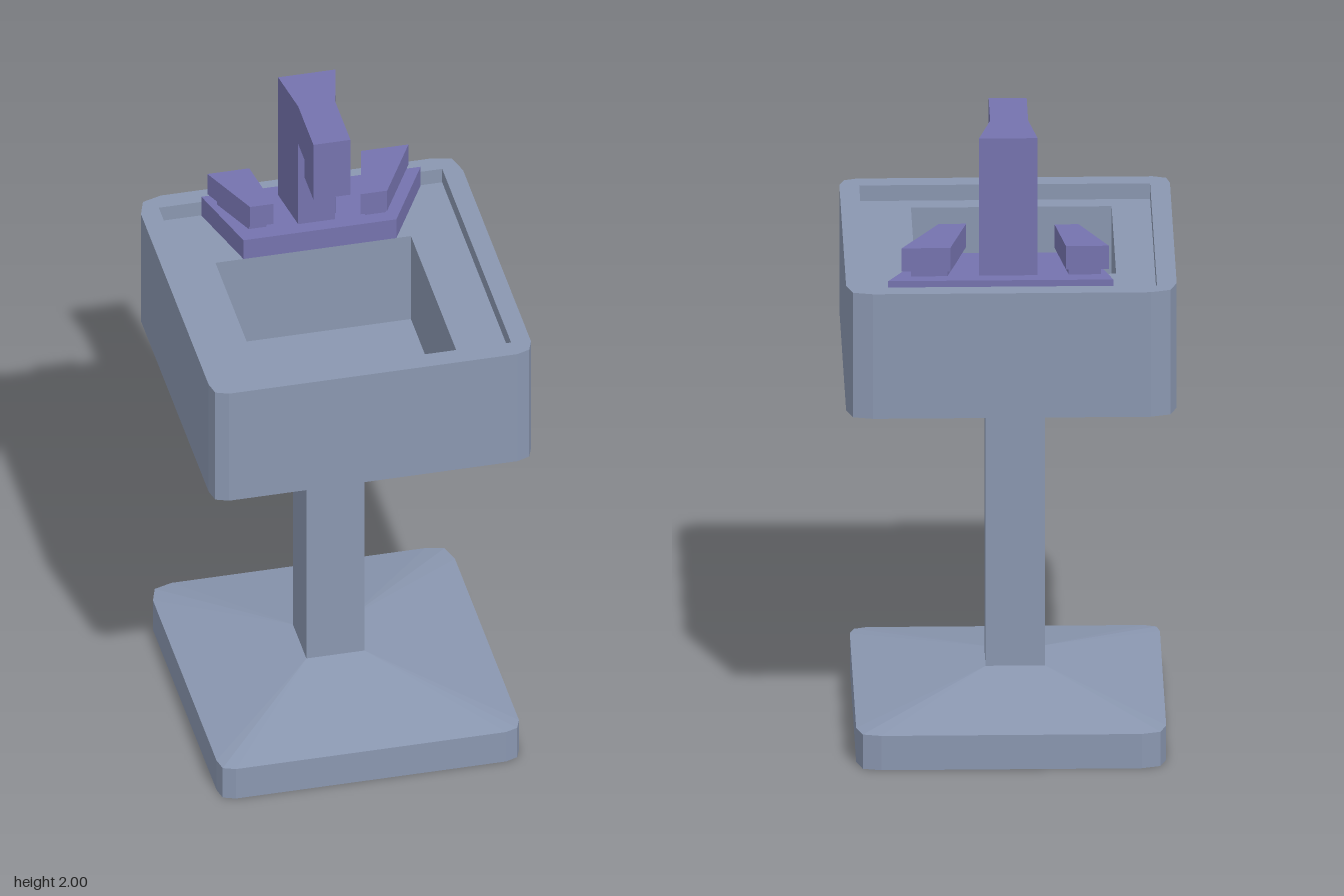
import * as THREE from 'three';

// Joins a stack of equal-length rings [y, [[x, z], ...]] (counterclockwise from above), capped at both ends.
function loft(rings) {
  const pos = [];
  const v = rings.map(([y, pts]) => pts.map(([x, z]) => new THREE.Vector3(x, y, z)));
  const tri = (a, b, c) => {
    if (new THREE.Triangle(a, b, c).getArea() > 1e-7) {
      for (const p of [a, b, c]) pos.push(p.x, p.y, p.z);
    }
  };
  const n = v[0].length;
  for (let r = 0; r < v.length - 1; r++) {
    for (let i = 0; i < n; i++) {
      const j = (i + 1) % n;
      tri(v[r][i], v[r][j], v[r + 1][j]);
      tri(v[r][i], v[r + 1][j], v[r + 1][i]);
    }
  }
  const first = v[0], last = v[v.length - 1];
  for (let i = 1; i < n - 1; i++) {
    tri(first[0], first[i + 1], first[i]);
    tri(last[0], last[i], last[i + 1]);
  }
  const g = new THREE.BufferGeometry();
  g.setAttribute('position', new THREE.Float32BufferAttribute(pos, 3));
  g.computeVertexNormals();
  return g;
}

// Upright prism over one outline
const prism = (pts, y0, y1) => loft([[y0, pts], [y1, pts]]);

// Shrinks an outline around its centre
function inset(pts, s) {
  const cx = pts.reduce((a, p) => a + p[0], 0) / pts.length;
  const cz = pts.reduce((a, p) => a + p[1], 0) / pts.length;
  return pts.map(([x, z]) => [cx + (x - cx) * s, cz + (z - cz) * s]);
}

// Basin outline with clipped corners
const outline = [
  [0.445, 0.52], [0.485, 0.505], [0.5, 0.465],
  [0.5, -0.44], [0.48, -0.505], [0.42, -0.52],
  [-0.42, -0.52], [-0.48, -0.5], [-0.5, -0.44],
  [-0.5, 0.46], [-0.49, 0.505], [-0.45, 0.52],
];

// Rectangle with each corner repeated, so that it joins to the outline
const rect = (x0, x1, z0, z1) =>
  outline.map(([x, z]) => [x < 0 ? x0 : x1, z < 0 ? z0 : z1]);

export function createModel() {
  const model = new THREE.Group();
  const ceramic = new THREE.MeshStandardMaterial({ color: 0x8a97b0 });
  ceramic.name = 'blue grey ceramic';
  const metal = new THREE.MeshStandardMaterial({ color: 0x7573ae });
  metal.name = 'violet metal';

  const add = (parent, name, geometry, material) => {
    const mesh = new THREE.Mesh(geometry, material);
    mesh.name = name;
    parent.add(mesh);
  };

  // Foot and column
  const column = rect(-0.11, 0.07, -0.09, 0.09);
  const foot = outline.map(([x, z]) => [x * 0.938, z * 0.94]);
  add(model, 'foot', loft([[0, foot], [0.11, foot], [0.19, column]]), ceramic);
  add(model, 'column', prism(column, 0.19, 1.04), ceramic);

  // Basin: underside, outer wall, rim, sunken deck, bowl
  const deck = rect(-0.44, 0.44, -0.46, 0.457);
  const bowl = rect(-0.322, 0.285, -0.212, 0.394);
  add(model, 'basin', loft([
    [1.04, column], [1.14, outline], [1.54, outline],
    [1.54, deck], [1.49, deck], [1.49, bowl], [1.18, bowl],
  ]), ceramic);

  // Tap set
  const tap = new THREE.Group();
  tap.name = 'tap';
  model.add(tap);

  add(tap, 'tapPlate', prism(
    [[0.24, -0.212], [0.373, -0.459], [-0.308, -0.459], [-0.235, -0.212]], 1.49, 1.56), metal);

  const handles = {
    right: [[-0.135, -0.24], [-0.165, -0.435], [-0.295, -0.435], [-0.208, -0.24]],
    left: [[0.215, -0.228], [0.332, -0.445], [0.185, -0.445], [0.132, -0.228]],
  };
  for (const [side, pts] of Object.entries(handles)) {
    add(tap, side + 'HandleNeck', prism(inset(pts, 0.75), 1.56, 1.585), metal);
    add(tap, side + 'Handle', prism(pts, 1.585, 1.66), metal);
  }

  // Spout: tapered riser, then an arm with a downturned tip
  add(tap, 'spoutRiser', prism(
    [[0.06, -0.255], [0.098, -0.415], [-0.08, -0.415], [-0.055, -0.255]], 1.56, 2), metal);
  const arm = new THREE.Shape([
    [0.255, 2], [0.255, 1.86], [0.17, 1.86], [0.17, 1.795], [0.052, 1.795], [0.052, 2],
  ].map(([x, y]) => new THREE.Vector2(x, y)));
  const armGeometry = new THREE.ExtrudeGeometry(arm, { depth: 0.115, bevelEnabled: false });
  armGeometry.rotateY(Math.PI / 2).translate(-0.055, 0, 0);
  add(tap, 'spoutArm', armGeometry, metal);

  return model;
}
